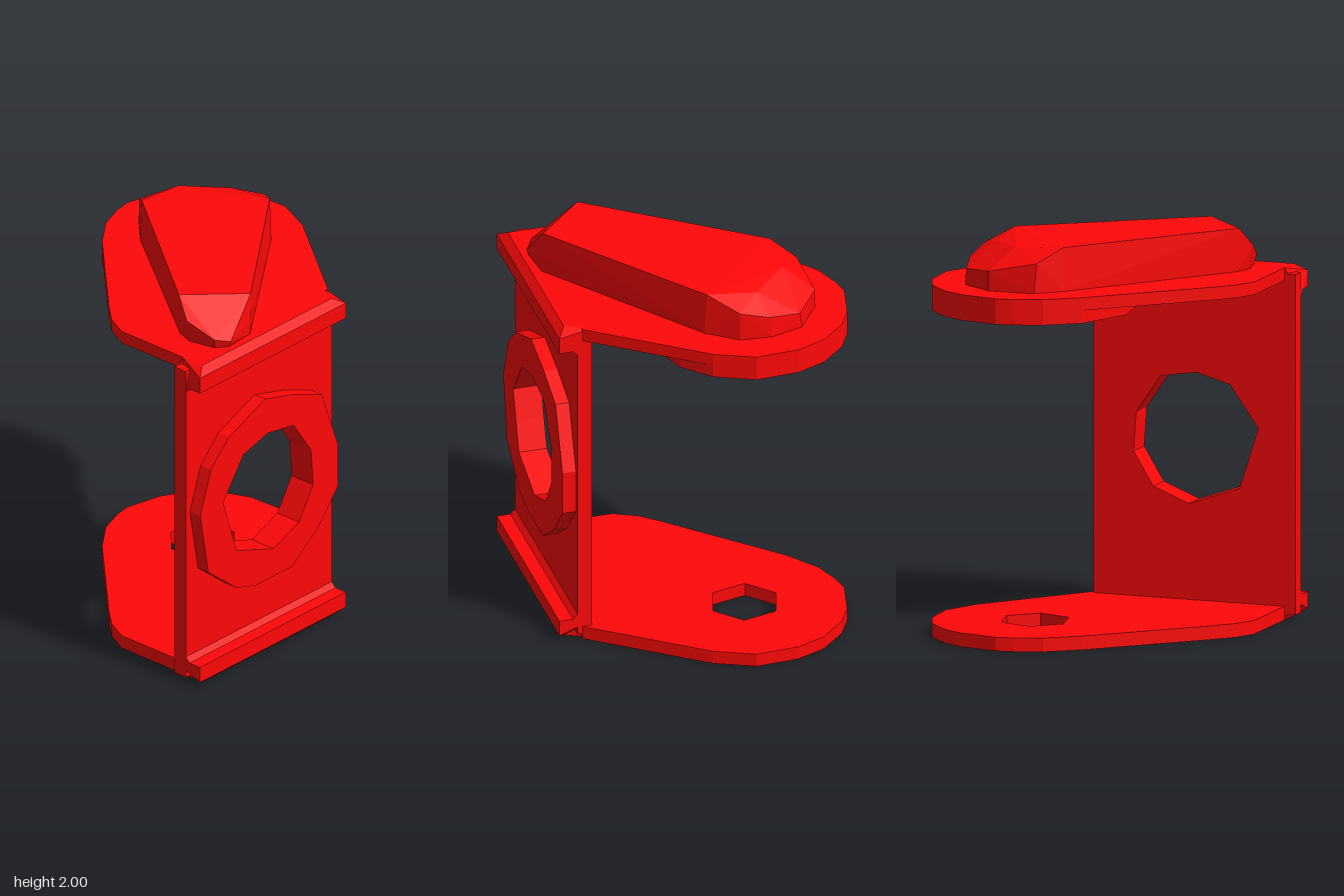
import * as THREE from 'three';
import { ConvexGeometry } from 'three/addons/geometries/ConvexGeometry.js';

const red = new THREE.MeshStandardMaterial({ color: 0xff0808, flatShading: true });
const PIVOT = [0.28, -0.22];

const vec = (pts) => pts.map(([a, b]) => new THREE.Vector2(a, b));
const circle = ([cx, cy], r, n, turn = 0) => Array.from({ length: n }, (_, i) => {
  const a = turn + (i / n) * Math.PI * 2;
  return [cx + r * Math.cos(a), cy + r * Math.sin(a)];
});

// the outline runs anticlockwise and the hole clockwise, so all walls face outward
function extrude(outline, hole, depth) {
  const wind = (pts, clockwise) => (THREE.ShapeUtils.isClockWise(pts) === clockwise ? pts : pts.reverse());
  const shape = new THREE.Shape(wind(vec(outline), false));
  if (hole) shape.holes.push(new THREE.Path(wind(vec(hole), true)));
  return new THREE.ExtrudeGeometry(shape, { depth, bevelEnabled: false });
}

// upright slab: outline in x, y
const upright = (outline, hole, z0, z1) => extrude(outline, hole, z1 - z0).translate(0, 0, z0);

// horizontal slab: outline in x, z
function flat(outline, hole, y0, y1) {
  const flip = (pts) => pts.map(([x, z]) => [x, -z]);
  return extrude(flip(outline), flip(hole), y1 - y0).rotateX(-Math.PI / 2).translate(0, y0, 0);
}

export function createModel() {
  const group = new THREE.Group();
  const add = (name, geometry) => {
    const mesh = new THREE.Mesh(geometry, red);
    mesh.name = name;
    group.add(mesh);
  };

  // front wall with the large opening, and the raised collar around it
  const opening = [[-0.6, 0.96], [-0.45, 1.17], [-0.27, 1.22], [-0.08, 1.19], [0.05, 1.0],
    [0.065, 0.8], [-0.04, 0.63], [-0.23, 0.555], [-0.5, 0.65], [-0.55, 0.8]];
  const collar = [[-0.29, 1.42], [-0.07, 1.36], [0.13, 1.28], [0.25, 0.95], [0.25, 0.72], [0.1, 0.54],
    [-0.09, 0.4], [-0.36, 0.4], [-0.5, 0.44], [-0.71, 0.61], [-0.77, 0.95], [-0.69, 1.18], [-0.56, 1.31]];
  add('frontWall', upright([[-0.8, 0.03], [0.28, 0.03], [0.28, 1.75], [-0.8, 1.75]], opening, 0.57, 0.645));
  add('openingCollar', upright(collar, opening, 0.645, 0.715));

  // slanted round-ended plates, the upper one thickened around its socket
  const roundEnd = [[-0.1, -0.55], [0.06, -0.67], [0.2, -0.72], [0.29, -0.735], [0.49, -0.69],
    [0.6, -0.63], [0.72, -0.5], [0.78, -0.35], [0.79, -0.13], [0.7, 0.07]];
  const plate = [[-0.74, 0.62], [-0.74, 0.16], [-0.68, 0.04], [-0.6, -0.05], ...roundEnd, [0.28, 0.62]];
  const boss = [...roundEnd, [0.56, 0.2], [0.28, 0.29], [0, 0.2], [-0.18, 0], [-0.22, -0.25]];
  add('upperPlate', flat(plate, circle(PIVOT, 0.315, 11, 0.2), 1.715, 1.78));
  add('upperBoss', flat(boss, circle(PIVOT, 0.33, 11, 0.2), 1.65, 1.715));
  add('lowerPlate', flat(plate, circle(PIVOT, 0.18, 6, 0.3), 0, 0.07));

  // thickened lips along the wall's top and bottom edges, with chamfered ends
  const lip = [[0.57, 0], [0.7, 0], [0.74, 0.035], [0.74, 0.12], [0.67, 0.12], [0.64, 0.15], [0.57, 0.1]];
  const makeLip = (profile) => {
    const g = extrude(profile.map(([z, y]) => [-z, y]), null, 1.08).rotateY(Math.PI / 2).translate(-0.8, 0, 0);
    const p = g.attributes.position;
    for (let i = 0; i < p.count; i++) {
      if (p.getY(i) > 0.01 && p.getY(i) < 1.77) continue;
      if (p.getX(i) < 0) p.setX(i, -0.74);
      else if (p.getZ(i) > 0.69) p.setX(i, 0.22);
    }
    g.computeVertexNormals();
    return g;
  };
  add('lowerLip', makeLip(lip));
  add('upperLip', makeLip(lip.map(([z, y]) => [z, 1.78 - y])));

  // slanted cover on the upper plate, its ends sloping down
  const points = [
    // top face
    [-0.57, 2, 0.39], [-0.32, 2, 0.645], [0.49, 2, 0.04], [0.05, 2, -0.42],
    [0.31, 1.985, -0.41], [0.49, 1.97, -0.22],
    // low end
    [-0.61, 1.9, 0.48], [-0.57, 1.83, 0.63], [-0.5, 1.81, 0.675], [-0.33, 1.87, 0.655],
    [-0.59, 1.78, 0.48], [-0.56, 1.78, 0.62], [-0.5, 1.78, 0.665], [-0.33, 1.78, 0.65], [-0.56, 1.78, 0.39],
    // round end
    [0.15, 1.93, -0.53], [0.4, 1.88, -0.55], [0.57, 1.86, -0.42], [0.615, 1.89, -0.25], [0.605, 1.93, -0.1],
    [0.04, 1.78, -0.42], [0.16, 1.78, -0.54], [0.4, 1.78, -0.55], [0.57, 1.78, -0.43],
    [0.62, 1.78, -0.26], [0.605, 1.78, -0.1], [0.49, 1.78, 0.05],
  ];
  add('cover', new ConvexGeometry(points.map((p) => new THREE.Vector3(...p))));

  return group;
}
